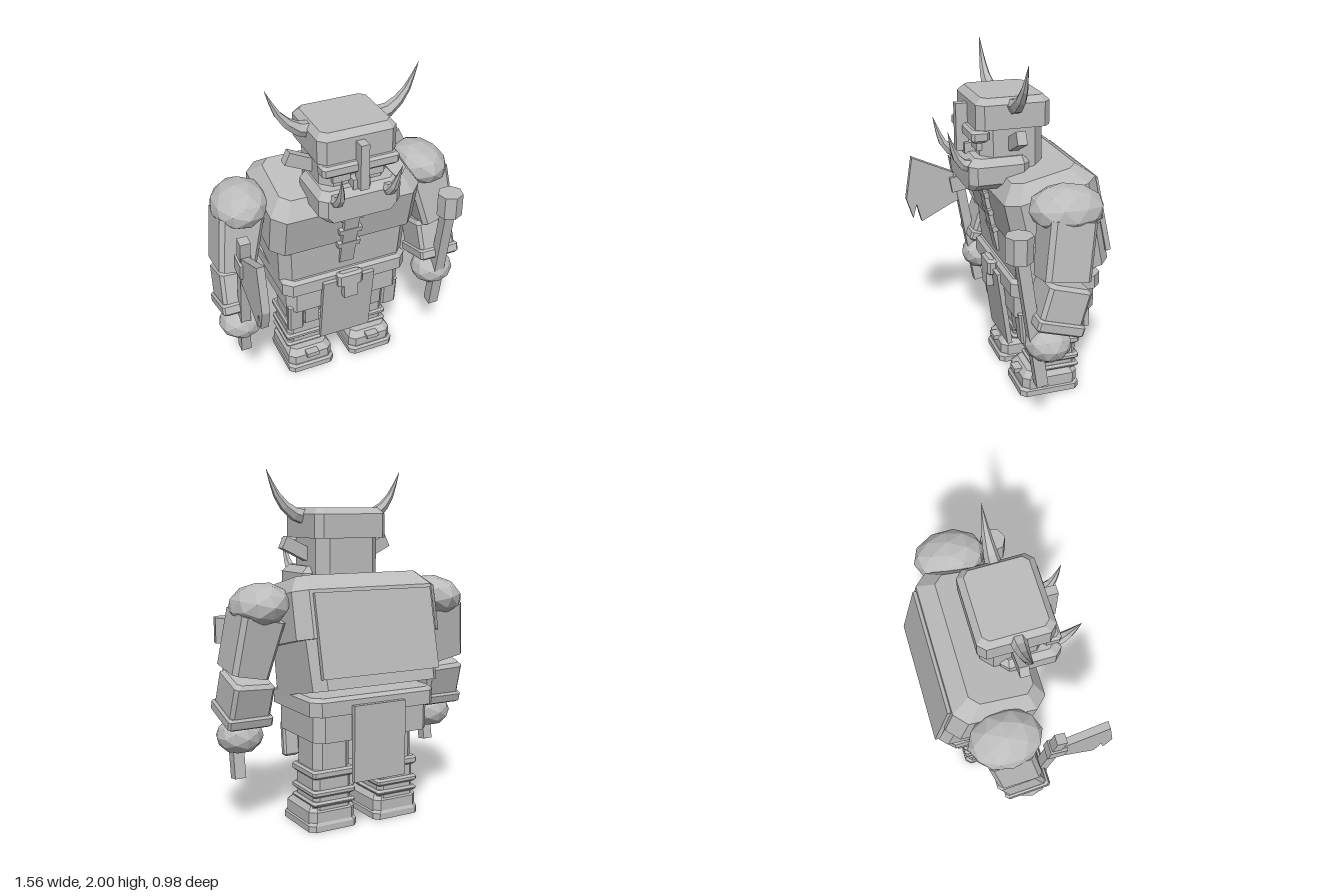
import * as THREE from 'three';

const grey = new THREE.MeshStandardMaterial({ color: 0xbcbcbc });
grey.name = 'stone grey';

// Adds a faceted mesh to a parent
function add(parent, name, geo, pos = [0, 0, 0], rot = [0, 0, 0]) {
  const g = geo.index ? geo.toNonIndexed() : geo;
  g.computeVertexNormals();
  const m = new THREE.Mesh(g, grey);
  m.name = name;
  m.position.set(...pos);
  m.rotation.set(...rot);
  parent.add(m);
  return m;
}

// Chamfered block lofted through sections [y, half width, front z, back z, corner cut]
function loft(sections) {
  const v = [], idx = [], last = (sections.length - 1) * 8;
  for (const [y, w, f, b, c] of sections) {
    for (const [x, z] of [[c - w, f], [w - c, f], [w, f - c], [w, b + c],
      [w - c, b], [c - w, b], [-w, b + c], [-w, f - c]]) v.push(x, y, z);
  }
  for (let s = 0; s < last; s += 8) {
    for (let i = 0; i < 8; i++) {
      const a = s + i, b = s + (i + 1) % 8;
      idx.push(a, b, b + 8, a, b + 8, a + 8);
    }
  }
  for (let i = 1; i < 7; i++) idx.push(0, i + 1, i, last, last + i, last + i + 1);
  const g = new THREE.BufferGeometry();
  g.setAttribute('position', new THREE.Float32BufferAttribute(v, 3));
  g.setIndex(idx);
  return g;
}

const box = (w, h, d) => new THREE.BoxGeometry(w, h, d);

// Block with bevelled vertical and horizontal edges, centred on its origin
function bevelBox(w, h, d, c) {
  const x = w / 2, y = h / 2, z = d / 2;
  return loft([[-y, x - c, z - c, c - z, c], [c - y, x, z, -z, c],
    [y - c, x, z, -z, c], [y, x - c, z - c, c - z, c]]);
}

// Curved spike that narrows to a point
function spike(points, radius) {
  const curve = new THREE.CatmullRomCurve3(points.map(p => new THREE.Vector3(...p)));
  const seg = 5, sides = 6;
  const g = new THREE.TubeGeometry(curve, seg, radius, sides);
  const p = g.attributes.position, v = new THREE.Vector3();
  for (let i = 0; i < p.count; i++) {
    const t = Math.floor(i / (sides + 1)) / seg;
    v.fromBufferAttribute(p, i).lerp(curve.getPointAt(t), t * 0.98);
    p.setXYZ(i, v.x, v.y, v.z);
  }
  return g;
}

// Square bar between two points in a plane of constant x
function bar(parent, name, x, y0, z0, y1, z1, t) {
  const len = Math.hypot(y1 - y0, z1 - z0);
  return add(parent, name, box(t, len, t), [x, (y0 + y1) / 2, (z0 + z1) / 2],
    [Math.atan2(z1 - z0, y1 - y0), 0, 0]);
}

function part(root, name) {
  const g = new THREE.Group();
  g.name = name;
  root.add(g);
  return g;
}

export function createModel() {
  const root = new THREE.Group();
  root.name = 'hornedWarrior';

  // Torso, leaning forward
  const torso = part(root, 'torso');
  torso.position.set(0, 1.1, -0.15);
  torso.rotation.x = 0.22;
  add(torso, 'chest', loft([[-0.05, 0.46, 0.27, -0.265, 0.07], [0.21, 0.46, 0.27, -0.265, 0.07],
    [0.3, 0.39, 0.19, -0.18, 0.05]]));
  add(torso, 'belly', loft([[-0.33, 0.4, 0.3, -0.265, 0.06], [-0.05, 0.41, 0.262, -0.265, 0.06]]));
  add(torso, 'backPlate', box(0.74, 0.46, 0.03), [0, -0.04, -0.27]);
  add(torso, 'chestStrap', box(0.09, 0.42, 0.03), [0, 0.0, 0.28]);
  for (const y of [0.16, 0.05, -0.06]) add(torso, 'strapClasp', box(0.14, 0.035, 0.036), [0, y, 0.28]);

  // Waist
  const waist = part(root, 'waist');
  add(waist, 'belt', loft([[0.68, 0.4, 0.11, -0.43, 0.05], [0.76, 0.4, 0.11, -0.43, 0.05],
    [0.78, 0.38, 0.09, -0.41, 0.05]]));
  add(waist, 'hips', loft([[0.53, 0.37, 0.08, -0.41, 0.05], [0.69, 0.37, 0.08, -0.41, 0.05]]));
  add(waist, 'buckle', bevelBox(0.16, 0.1, 0.06, 0.015), [0, 0.735, 0.13]);
  add(waist, 'buckleDrop', box(0.09, 0.1, 0.05), [0, 0.66, 0.135]);
  add(waist, 'frontCloth', box(0.33, 0.47, 0.03), [0, 0.5, 0.085], [0.14, 0, 0]);
  add(waist, 'backCloth', box(0.33, 0.43, 0.03), [0, 0.515, -0.443]);

  // Head and helmet
  const head = part(root, 'head');
  add(head, 'skull', loft([[1.36, 0.2, 0.22, -0.14, 0.06], [1.64, 0.2, 0.22, -0.14, 0.06]]));
  add(head, 'helmet', loft([[1.62, 0.23, 0.255, -0.165, 0.04], [1.755, 0.23, 0.255, -0.165, 0.04],
    [1.79, 0.2, 0.22, -0.13, 0.03]]));
  add(head, 'jaw', loft([[1.28, 0.2, 0.3, -0.02, 0.03], [1.32, 0.245, 0.3, -0.04, 0.04],
    [1.42, 0.245, 0.3, -0.045, 0.04], [1.46, 0.21, 0.26, -0.03, 0.03]]));
  add(head, 'brow', bevelBox(0.45, 0.07, 0.1, 0.015), [0, 1.585, 0.235]);
  add(head, 'noseGuard', box(0.05, 0.27, 0.07), [0, 1.595, 0.285]);
  add(head, 'nose', box(0.1, 0.06, 0.06), [0, 1.48, 0.25]);

  for (const s of [1, -1]) {
    const side = s > 0 ? 'left' : 'right';
    add(head, side + 'Eye', box(0.1, 0.05, 0.03), [s * 0.1, 1.515, 0.225]);
    add(head, side + 'Ear', box(0.17, 0.075, 0.055), [s * 0.265, 1.56, 0.045], [0, 0, s * 0.45]);
    add(head, side + 'Horn', spike([[s * 0.19, 1.735, 0.045], [s * 0.28, 1.76, 0.045],
      [s * 0.37, 1.85, 0.045], [s * 0.44, 2.0, 0.045]], 0.05));
    add(head, side + 'Tusk', spike([[s * 0.155, 1.41, 0.27], [s * 0.155, 1.43, 0.33],
      [s * 0.16, 1.5, 0.37], [s * 0.175, 1.615, 0.405]], 0.04));

    // Arm
    const arm = part(root, side + 'Arm');
    const pad = new THREE.IcosahedronGeometry(1, 1);
    pad.scale(0.165, 0.12, 0.21);
    add(arm, 'shoulderPad', pad, [s * 0.57, 1.27, -0.125], [0, 0, -s * 0.2]);
    add(arm, 'upperArm', loft([[-0.16, 0.11, 0.13, -0.13, 0.025], [0.16, 0.13, 0.13, -0.13, 0.025]]),
      [s * 0.62, 1.06, -0.1], [-0.14, 0, s * 0.2]);
    add(arm, 'forearm', bevelBox(0.24, 0.24, 0.25, 0.02), [s * 0.638, 0.765, -0.065], [-0.3, 0, s * 0.05]);
    add(arm, 'wristBand', bevelBox(0.265, 0.07, 0.275, 0.012), [s * 0.643, 0.665, -0.035], [-0.3, 0, 0]);
    const fist = new THREE.IcosahedronGeometry(1, 1);
    fist.scale(0.135, 0.105, 0.13);
    add(arm, 'fist', fist, [s * 0.645, 0.53, -0.005]);

    // Hip guards
    add(waist, side + 'OuterGuard', bevelBox(0.1, 0.21, 0.05, 0.012), [s * 0.315, 0.465, 0.03], [0.1, 0, 0]);
    add(waist, side + 'InnerGuard', box(0.09, 0.18, 0.035), [s * 0.21, 0.48, 0.03], [0.1, 0, 0]);

    // Leg and boot
    const leg = part(root, side + 'Leg');
    leg.position.x = s * 0.21;
    add(leg, 'thigh', loft([[0.34, 0.115, -0.06, -0.31, 0.04], [0.56, 0.115, -0.06, -0.31, 0.04]]));
    add(leg, 'bootShaft', loft([[0.12, 0.12, -0.06, -0.31, 0.03], [0.34, 0.12, -0.06, -0.31, 0.03]]));
    for (const [y, h] of [[0.325, 0.05], [0.215, 0.04], [0.155, 0.03]]) {
      add(leg, 'bootBand', bevelBox(0.27, h, 0.275, 0.012), [0, y, -0.185]);
    }
    add(leg, 'foot', loft([[0.04, 0.145, 0.025, -0.315, 0.035], [0.11, 0.145, 0.025, -0.315, 0.035],
      [0.145, 0.12, -0.01, -0.29, 0.03]]));
    add(leg, 'sole', loft([[0, 0.152, 0.042, -0.325, 0.03], [0.035, 0.152, 0.042, -0.325, 0.03],
      [0.05, 0.14, 0.03, -0.315, 0.03]]));
    add(leg, 'toeClasp', box(0.08, 0.028, 0.05), [0, 0.12, 0.028]);
  }

  // Hammer in the left hand
  const hammer = part(root, 'hammer');
  bar(hammer, 'hammerHandle', 0.642, 0.27, 0.03, 1.06, 0.15, 0.066);
  add(hammer, 'hammerHead', new THREE.CylinderGeometry(0.077, 0.077, 0.145, 7), [0.642, 1.107, 0.16]);

  // Axe in the right hand
  const axe = part(root, 'axe');
  bar(axe, 'axeHandle', -0.645, 0.335, 0.02, 1.22, 0.17, 0.06);
  add(axe, 'axeCollar', box(0.085, 0.1, 0.1), [-0.645, 1.04, 0.15], [0.17, 0, 0]);
  const blade = new THREE.Shape([[0.445, 1.235], [0.24, 1.14], [0.15, 1.1], [0.15, 0.92], [0.2, 0.9],
    [0.395, 0.8], [0.425, 0.92], [0.45, 0.83], [0.49, 0.96]].map(p => new THREE.Vector2(...p)));
  const bladeGeo = new THREE.ExtrudeGeometry(blade, { depth: 0.045, bevelEnabled: false });
  bladeGeo.rotateY(-Math.PI / 2);
  add(axe, 'axeBlade', bladeGeo, [-0.625, 0, 0]);

  return root;
}
